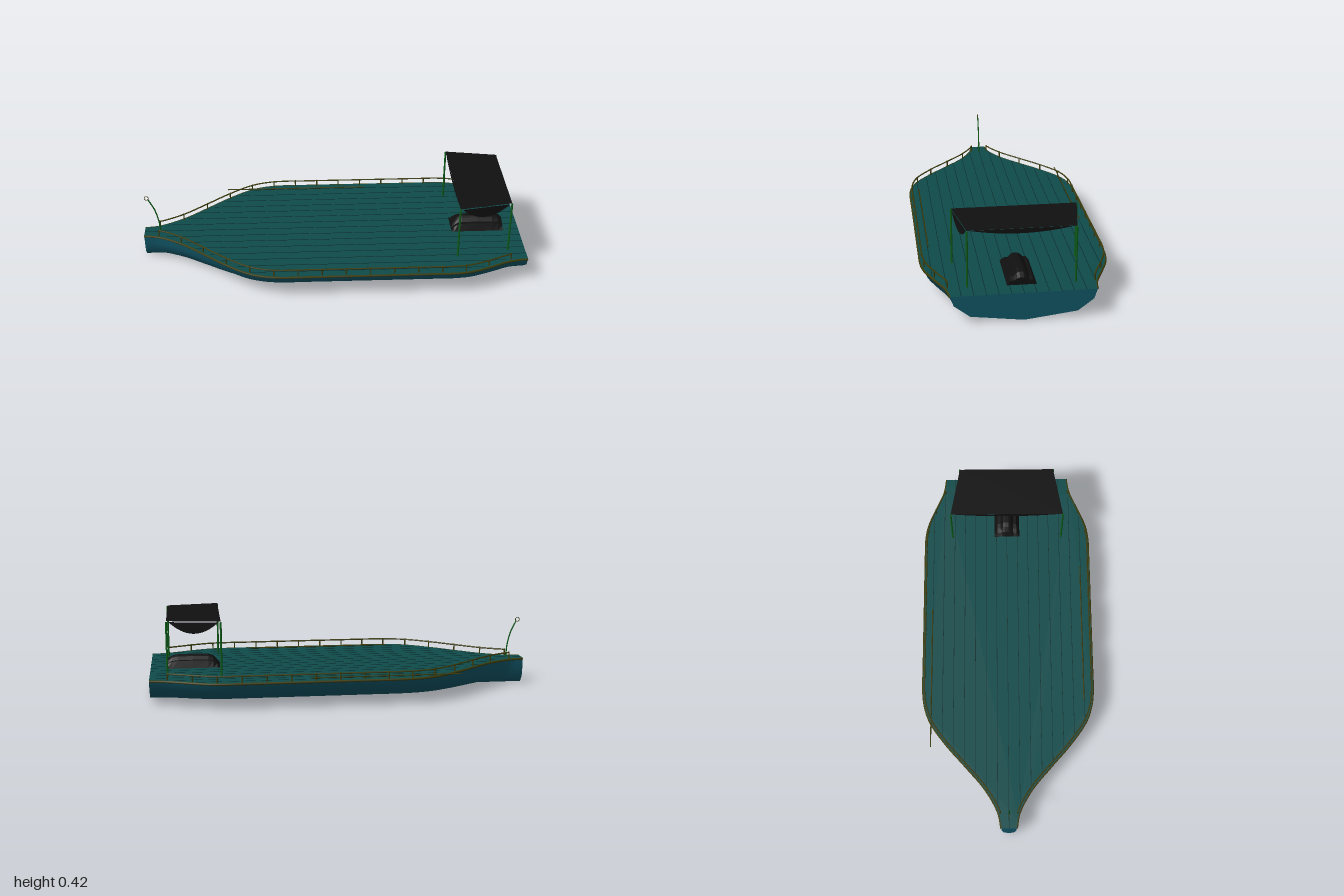
import * as THREE from 'three';

const DECK = 0.138;
const V = (x, y, z) => new THREE.Vector3(x, y, z);
const mat = (color, extra = {}) => new THREE.MeshStandardMaterial({ color, ...extra });

// Half-width of the deck from bow (-x) to stern (+x)
const outline = new THREE.CatmullRomCurve3([
  [-1, 0.04], [-0.92, 0.055], [-0.8, 0.12], [-0.68, 0.22], [-0.56, 0.325], [-0.44, 0.41],
  [-0.36, 0.44], [-0.28, 0.452], [-0.1, 0.453], [0.2, 0.453], [0.5, 0.453], [0.62, 0.452],
  [0.7, 0.44], [0.8, 0.402], [0.9, 0.358], [0.95, 0.346], [1, 0.34],
].map(([x, z]) => V(x, 0, z)), false, 'centripetal').getPoints(96);

function halfWidth(x) {
  const i = Math.max(1, outline.findIndex((p) => p.x >= x - 1e-6));
  const a = outline[i - 1], b = outline[i];
  return THREE.MathUtils.lerp(a.z, b.z, (x - a.x) / (b.x - a.x));
}

// Skin over rows of points that run along +x
function loft(rows) {
  const n = rows[0].length, index = [];
  for (let i = 0; i < rows.length - 1; i++) {
    for (let j = 0; j < n - 1; j++) {
      const a = i * n + j, b = a + 1, c = a + n, d = c + 1;
      index.push(a, b, c, b, d, c);
    }
  }
  const g = new THREE.BufferGeometry().setFromPoints(rows.flat());
  g.setIndex(index);
  g.computeVertexNormals();
  return g;
}

// Flat end of a loft, facing +x or -x
function endCap(row, facesForward) {
  const index = [];
  for (let j = 1; j < row.length - 1; j++) index.push(0, ...(facesForward ? [j, j + 1] : [j + 1, j]));
  const g = new THREE.BufferGeometry().setFromPoints(row);
  g.setIndex(index);
  g.computeVertexNormals();
  return g;
}

function tube(points, radius, segments, sides = 6) {
  return new THREE.TubeGeometry(new THREE.CatmullRomCurve3(points, false, 'centripetal'), segments, radius, sides);
}

export function createModel() {
  const root = new THREE.Group();
  const hullMat = mat(0x115566);
  const deckMat = mat(0x0f4a4a);
  const seamMat = mat(0x0a2c2c);
  const railMat = mat(0x3d3d0c);
  const greenMat = mat(0x0d5c18);
  const blackMat = mat(0x101010, { side: THREE.DoubleSide });

  const add = (name, geometry, material, parent = root) => {
    const m = new THREE.Mesh(geometry, material);
    m.name = name;
    parent.add(m);
    return m;
  };
  const group = (name) => {
    const g = new THREE.Group();
    g.name = name;
    root.add(g);
    return g;
  };
  const post = (name, x, z, y0, y1, r, material, parent) => {
    const m = add(name, new THREE.CylinderGeometry(r, r, y1 - y0, 8), material, parent);
    m.position.set(x, (y0 + y1) / 2, z);
    return m;
  };

  // Hull: one chined section scaled to the deck width
  const section = [[1, DECK], [0.955, 0.09], [0.735, 0.032], [0, 0], [-0.735, 0.032], [-0.955, 0.09], [-1, DECK]];
  const rows = outline.map((p) => section.map(([s, y]) => V(p.x, y, s * p.z)));
  add('hull', loft(rows), hullMat);
  add('transom', endCap(rows[rows.length - 1], true), hullMat);
  add('stem', endCap(rows[0], false), hullMat);

  // Deck with plank seams
  const deckShape = new THREE.Shape([
    ...outline.map((p) => new THREE.Vector2(p.x, -p.z)),
    ...outline.map((p) => new THREE.Vector2(p.x, p.z)).reverse(),
  ]);
  add('deck', new THREE.ShapeGeometry(deckShape).rotateX(-Math.PI / 2).translate(0, DECK, 0), deckMat);
  const seams = group('deckSeams');
  for (let k = -7; k <= 7; k++) {
    const z = k * 0.058, inside = outline.filter((p) => p.z > Math.abs(z) + 0.01);
    const x0 = inside[0].x, x1 = inside[inside.length - 1].x;
    add('seam', new THREE.BoxGeometry(x1 - x0, 0.001, 0.003), seamMat, seams)
      .position.set((x0 + x1) / 2, DECK + 0.0005, z);
  }

  // Rub rail, guard rail and stanchions on both sides
  for (const s of [1, -1]) {
    const side = group(s > 0 ? 'leftRailing' : 'rightRailing');
    add('rubRail', tube(outline.map((p) => V(p.x, 0.133, s * p.z)), 0.006, 120), railMat, side);
    const railPoints = [];
    for (let i = 0; i <= 60; i++) {
      const x = -0.92 + (1.83 * i) / 60;
      railPoints.push(V(x, 0.171, s * (halfWidth(x) - 0.01)));
    }
    add('guardRail', tube(railPoints, 0.004, 120), railMat, side);
    for (let i = 0; i <= 15; i++) {
      const x = -0.92 + 0.122 * i;
      post('stanchion', x, s * (halfWidth(x) - 0.01), DECK - 0.005, 0.175, 0.0035, railMat, side);
    }
  }

  // Loose poles lying along the sides
  for (const [x, z] of [[-0.185, -0.408], [0.065, 0.403]]) {
    add('deckPole', new THREE.CylinderGeometry(0.003, 0.003, 0.77, 6).rotateZ(Math.PI / 2), railMat)
      .position.set(x, DECK + 0.006, z);
  }

  // Canopy: four posts, flat top, sagging valances
  const canopy = group('canopy');
  const corners = [[0.64, 0.302], [0.91, 0.254], [0.91, -0.254], [0.64, -0.302]];
  for (const [x, z] of corners) post('canopyPost', x, z, DECK, 0.417, 0.005, greenMat, canopy);
  const top = new THREE.Shape(corners.map(([x, z]) => new THREE.Vector2(x, -z)));
  add('canopyTop', new THREE.ShapeGeometry(top).rotateX(-Math.PI / 2).translate(0, 0.421, 0), blackMat, canopy);
  corners.forEach(([ax, az], i) => {
    const [bx, bz] = corners[(i + 1) % 4];
    const length = Math.hypot(bx - ax, bz - az), inset = 0.012;
    const sag = i % 2 ? 0.024 : 0.058;
    const flap = new THREE.Shape();
    flap.moveTo(inset, 0);
    flap.quadraticCurveTo(length / 2, -2 * sag, length - inset, 0);
    const m = add('valance', new THREE.ShapeGeometry(flap, 16), blackMat, canopy);
    m.position.set(ax, i % 2 ? 0.42 : 0.416, az);
    m.rotation.y = Math.atan2(az - bz, bx - ax);
  });

  // Engine cover under the canopy
  const cover = [[-0.07, 0], [-0.053, 0.037], [-0.036, 0.038], [-0.022, 0.055], [-0.009, 0.062],
    [0.009, 0.062], [0.022, 0.055], [0.036, 0.038], [0.053, 0.037], [0.07, 0]];
  const coverRows = [[0.64, 0.1], [0.655, 0.5], [0.675, 0.85], [0.7, 0.97], [0.78, 1], [0.86, 0.98], [0.89, 0.88], [0.915, 0.6]]
    .map(([x, h]) => cover.map(([z, y]) => V(x, DECK + y * h, z)));
  const engineMat = mat(0x101010, { flatShading: true });
  const engine = group('engineCover');
  add('coverShell', loft(coverRows), engineMat, engine);
  add('coverRear', endCap(coverRows[coverRows.length - 1], true), engineMat, engine);
  add('coverFront', endCap(coverRows[0], false), engineMat, engine);

  // Curved bow staff with a ring at its tip
  const staff = group('bowStaff');
  add('staffPole', tube([V(-0.915, DECK, 0), V(-0.92, 0.2, 0), V(-0.938, 0.275, 0), V(-0.967, 0.335, 0)], 0.0035, 20), greenMat, staff);
  add('staffRing', new THREE.TorusGeometry(0.011, 0.002, 6, 20), railMat, staff).position.set(-0.975, 0.344, 0);

  return root;
}
